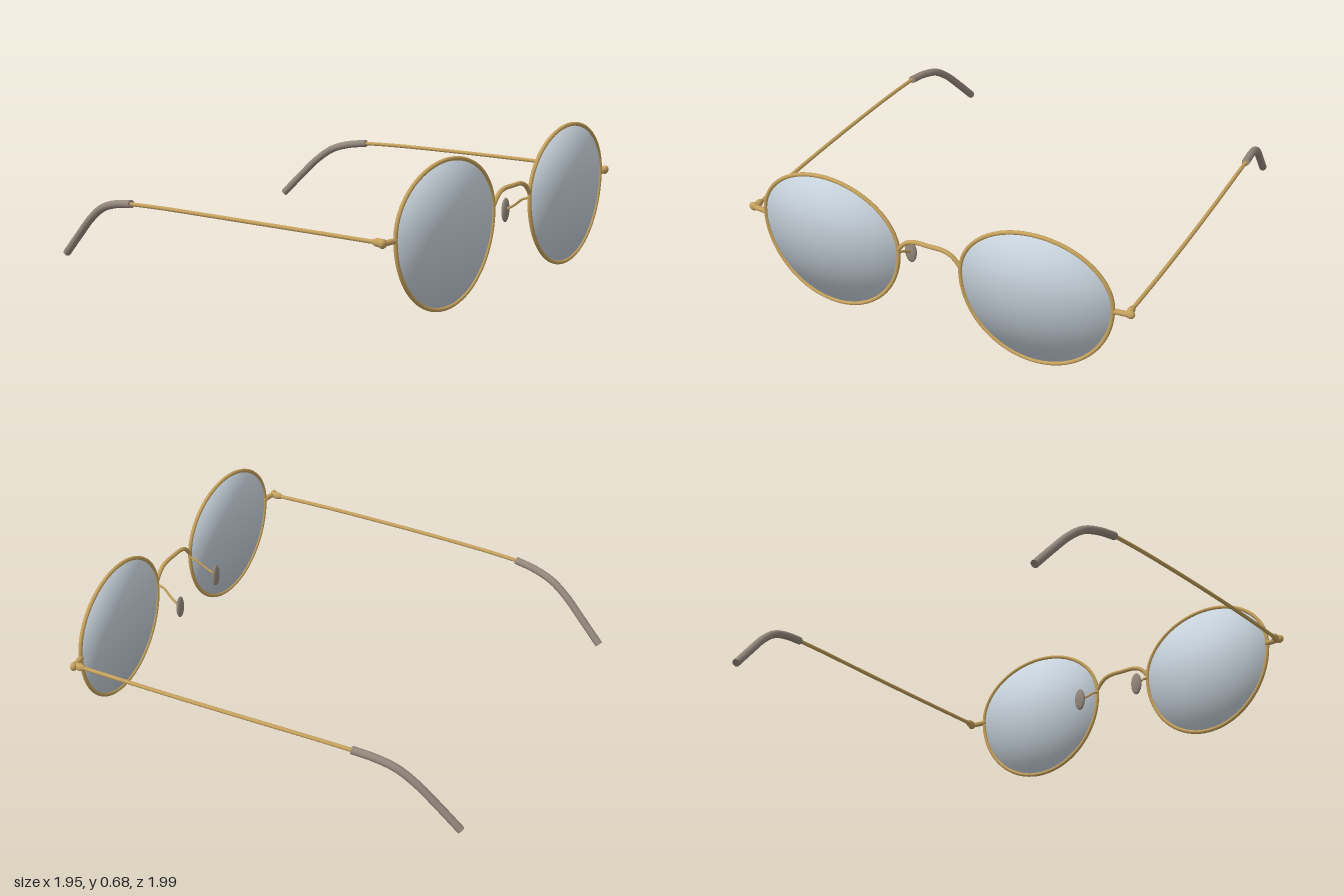
import * as THREE from 'three';

const V = (x, y, z) => new THREE.Vector3(x, y, z);

const LENS_X = 0.517, LENS_Y = 0.385, RX = 0.361, UP = 0.285, DOWN = 0.375;

// Gentle wrap of the whole front
const wrapZ = (x) => 0.987 - 0.041 * x * x;

// Point of the lens outline for a unit direction (egg-shaped, fuller below)
const outline = (s, u, v) => [s * LENS_X + RX * u, LENS_Y + v * (v > 0 ? UP : DOWN)];

export function createModel() {
  const model = new THREE.Group();
  model.name = 'sunglasses';

  const material = (name, color) => {
    const m = new THREE.MeshStandardMaterial({ color });
    m.name = name;
    return m;
  };
  const gold = material('gold metal', 0xc4a05c);
  const glass = material('grey lens', 0xc6d1da);
  const grey = material('taupe plastic', 0x94887c);

  const add = (parent, name, geometry, mat) => {
    const mesh = new THREE.Mesh(geometry, mat);
    mesh.name = name;
    parent.add(mesh);
    return mesh;
  };

  // Smooth wire through points with rounded ends
  const wire = (parent, name, points, radius, mat) => {
    const curve = new THREE.CatmullRomCurve3(points);
    add(parent, name, new THREE.TubeGeometry(curve, 48, radius, 12), mat);
    for (const p of [points[0], points[points.length - 1]]) {
      add(parent, name + 'End', new THREE.SphereGeometry(radius, 12, 8), mat).position.copy(p);
    }
  };

  const ball = (parent, name, p, size, mat) => {
    const mesh = add(parent, name, new THREE.SphereGeometry(1, 24, 16), mat);
    mesh.position.copy(p);
    mesh.scale.copy(size);
  };

  // Lens face: a sphere cap flattened into the outline, keeping its rounded shading
  const CAP = 0.9;
  const lensGeometry = (s, facing) => {
    const g = new THREE.SphereGeometry(1, 64, 16, 0, Math.PI * 2, 0, CAP).rotateX(facing * Math.PI / 2);
    const p = g.attributes.position, rim = Math.sin(CAP), base = Math.cos(CAP);
    for (let i = 0; i < p.count; i++) {
      const [x, y] = outline(s, p.getX(i) / rim, p.getY(i) / rim);
      const bulge = (Math.abs(p.getZ(i)) - base) / (1 - base);
      p.setXYZ(i, x, y, wrapZ(x) + facing * (0.001 + 0.006 * bulge));
    }
    return g;
  };

  for (const s of [1, -1]) {
    const side = new THREE.Group();
    side.name = s > 0 ? 'leftSide' : 'rightSide';
    model.add(side);
    const P = (x, y, z) => V(s * x, y, z);

    add(side, 'lensFront', lensGeometry(s, 1), glass);
    add(side, 'lensBack', lensGeometry(s, -1), glass);

    // Wire rim
    const rimPoints = [];
    for (let i = 0; i < 48; i++) {
      const a = (i / 48) * Math.PI * 2;
      const [x, y] = outline(s, Math.cos(a), Math.sin(a));
      rimPoints.push(V(x, y, wrapZ(x)));
    }
    const rimCurve = new THREE.CatmullRomCurve3(rimPoints, true);
    add(side, 'rim', new THREE.TubeGeometry(rimCurve, 96, 0.0095, 12, true), gold);

    // End piece and hinge
    wire(side, 'endPiece', [P(0.88, 0.379, 0.953), P(0.91, 0.379, 0.95), P(0.95, 0.379, 0.945)], 0.013, gold);
    ball(side, 'endKnob', P(0.953, 0.379, 0.943), V(0.022, 0.021, 0.016), gold);
    ball(side, 'hinge', P(0.945, 0.379, 0.918), V(0.016, 0.019, 0.035), gold);

    // Temple arm
    wire(side, 'temple', [
      P(0.944, 0.379, 0.93), P(0.949, 0.377, 0.6), P(0.948, 0.373, 0.3),
      P(0.943, 0.368, 0), P(0.934, 0.361, -0.3), P(0.925, 0.351, -0.52),
    ], 0.0095, gold);

    // Curved ear tip with flat ends
    const tipCurve = new THREE.CatmullRomCurve3([
      P(0.926, 0.353, -0.485), P(0.913, 0.337, -0.59), P(0.899, 0.304, -0.69),
      P(0.884, 0.24, -0.78), P(0.867, 0.148, -0.873), P(0.849, 0.035, -0.982),
    ]);
    add(side, 'earTip', new THREE.TubeGeometry(tipCurve, 48, 0.019, 16), grey);
    for (const t of [0, 1]) {
      const cap = add(side, 'earTipCap', new THREE.CircleGeometry(0.019, 16), grey);
      const point = tipCurve.getPoint(t);
      cap.position.copy(point);
      cap.lookAt(point.add(tipCurve.getTangent(t).multiplyScalar(t ? 1 : -1)));
    }

    // Nose pad on its arm
    wire(side, 'padArm', [
      P(0.155, 0.383, 0.978), P(0.154, 0.373, 0.95), P(0.165, 0.34, 0.905), P(0.173, 0.308, 0.853),
    ], 0.006, gold);
    ball(side, 'nosePad', P(0.174, 0.305, 0.848), V(0.03, 0.058, 0.013), grey);
  }

  // Arched bridge
  const half = [[0.152, 0.41], [0.132, 0.435], [0.105, 0.456], [0.065, 0.467]];
  wire(model, 'bridge', [
    ...half.map(([x, y]) => V(-x, y, 0.987)),
    V(0, 0.468, 0.988),
    ...half.slice().reverse().map(([x, y]) => V(x, y, 0.987)),
  ], 0.0105, gold);

  return model;
}
